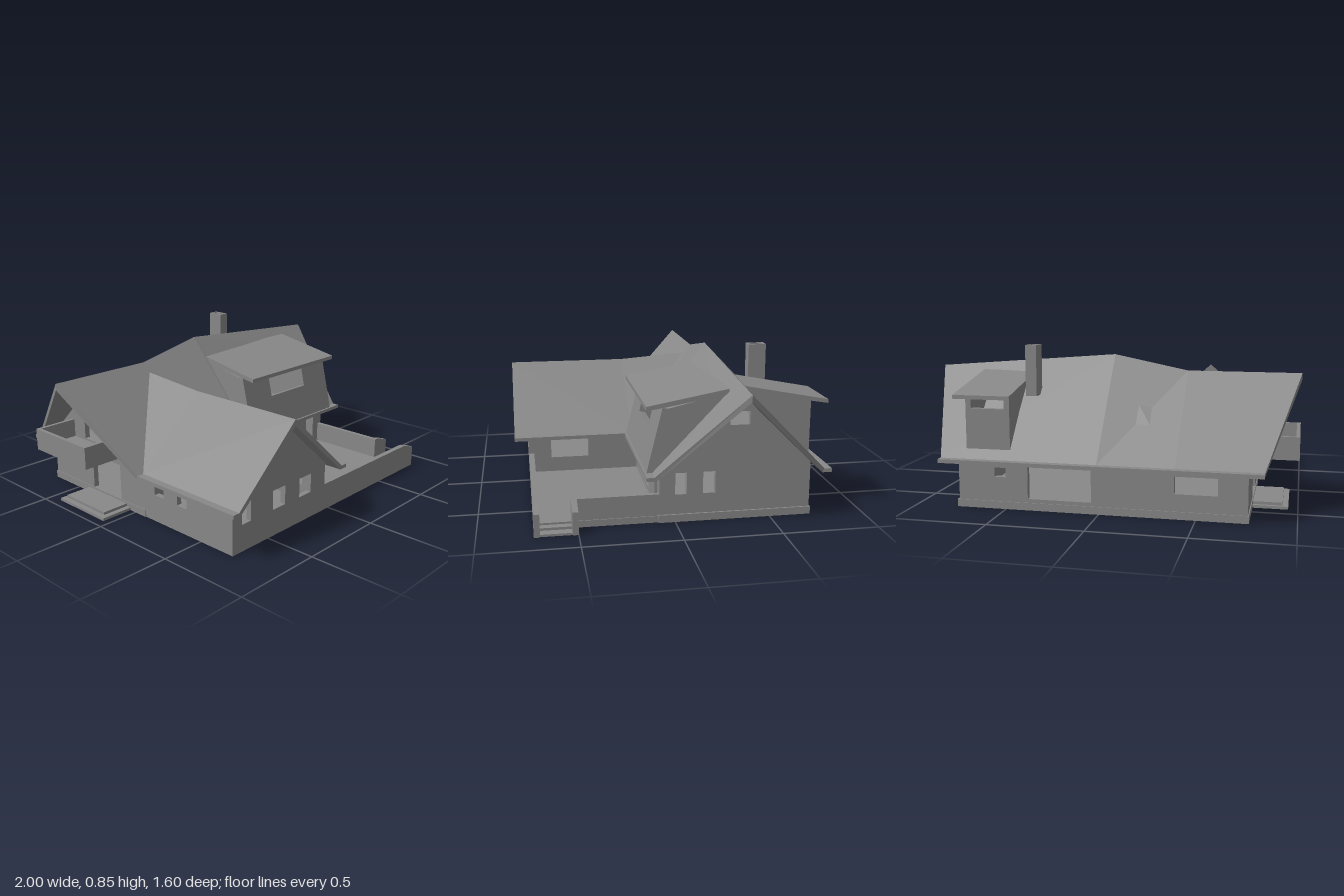
import * as THREE from 'three';

const mat = new THREE.MeshStandardMaterial({ color: 0x888888, flatShading: true, side: THREE.DoubleSide });

export function createModel() {
  const house = new THREE.Group();
  house.name = 'house';

  const add = (name, geo) => {
    const m = new THREE.Mesh(geo, mat);
    m.name = name;
    house.add(m);
    return m;
  };

  // Box given by its limits
  const box = (name, x0, x1, y0, y1, z0, z1) =>
    add(name, new THREE.BoxGeometry(x1 - x0, y1 - y0, z1 - z0))
      .position.set((x0 + x1) / 2, (y0 + y1) / 2, (z0 + z1) / 2);

  // Plate with rectangular openings [a0, a1, b0, b1]
  const rect = (a0, a1, b0, b1) => [[a0, b0], [a1, b0], [a1, b1], [a0, b1]];
  const vectors = pts => pts.map(p => new THREE.Vector2(...p));
  const plate = (pts, holes, depth) => {
    const shape = new THREE.Shape(vectors(pts));
    for (const h of holes) shape.holes.push(new THREE.Path(vectors(rect(...h))));
    return new THREE.ExtrudeGeometry(shape, { depth, bevelEnabled: false });
  };

  // Wall facing z: outline in (x, y), from z0 forwards
  const wallZ = (name, pts, holes, z0, t = 0.03) => {
    const m = add(name, plate(pts, holes, t));
    m.position.z = z0;
    return m;
  };
  // Wall facing x: outline in (z, y), from x1 towards -x
  const wallX = (name, pts, holes, x1, t = 0.03) => {
    const m = add(name, plate(pts, holes, t));
    m.rotation.y = -Math.PI / 2;
    m.position.x = x1;
  };

  // Roof slab skinned through closed sections, with both ends capped
  const loft = (name, sections) => {
    const v = [];
    const quad = (a, b, c, d) => { for (const p of [a, b, d, b, c, d]) v.push(...p); };
    const n = sections[0].length;
    for (let s = 0; s < sections.length - 1; s++) {
      const p = sections[s], q = sections[s + 1];
      for (let i = 0; i < n; i++) quad(p[i], p[(i + 1) % n], q[(i + 1) % n], q[i]);
    }
    for (const e of [sections[0], sections[sections.length - 1]]) {
      for (let i = 0; i < n / 2 - 1; i++) quad(e[i], e[n - 1 - i], e[n - 2 - i], e[i + 1]);
    }
    const g = new THREE.BufferGeometry();
    g.setAttribute('position', new THREE.Float32BufferAttribute(v, 3));
    g.computeVertexNormals();
    add(name, g);
  };

  // One roof slope as [distance from ridge line, height, on ridge], with a flat lip at the eave
  const slope = (half, ridge) => [
    [half + 0.04, 0.27, false], [half, 0.27, false], [0, ridge, true],
    [0, ridge - 0.035, true], [half - 0.01, 0.25, false], [half + 0.04, 0.25, false],
  ];

  // Main roof: raised in the middle, ridge longer than the eaves
  const mainSlope = (name, side, stations) => loft(name, stations.map(([eaveX, ridgeX, h]) =>
    slope(0.44, h).map(([d, y, top]) => [top ? ridgeX : eaveX, y, -0.32 + side * d])));
  const left = [[-0.84, -1, 0.71], [-0.4, -0.4, 0.71], [0, 0, 0.79]];
  const right = [0.84, 1, 0.71];
  mainSlope('backRoof', -1, [...left, right]);
  // The front slope is open under the dormer
  mainSlope('frontRoofLeft', 1, [...left, [0.04, 0.04, 0.787]]);
  mainSlope('frontRoofRight', 1, [[0.745, 0.745, 0.73], right]);
  loft('roofAboveDormer', [[0.04, 0.787], [0.745, 0.73]].map(([x, h]) => {
    const low = h - (h - 0.27) * 0.27;
    return [[x, low, -0.2], [x, h, -0.32], [x, h - 0.035, -0.32], [x, low - 0.03, -0.2]];
  }));
  box('dormerEave', 0.04, 0.745, 0.25, 0.27, 0.09, 0.16);

  // Wing roof: its end runs into the main roof along two valleys
  for (const side of [-1, 1]) {
    loft('wingRoof', [[0.8, 0.8, 0.63], [0.12, 0.12, 0.63], [0.12, -0.27, 0.66]].map(([eaveZ, ridgeZ, h]) =>
      slope(0.4, h).map(([d, y, top]) => [-0.4 + side * d, y, top ? ridgeZ : eaveZ])));
  }

  // Floors and plinth
  box('floorSlab', -0.76, 0.76, 0, 0.035, -0.72, 0.72);
  box('plinth', -0.765, 0.77, 0, 0.04, -0.72, 0.085);
  box('mainCeiling', -0.74, 0.74, 0.26, 0.275, -0.7, 0.06);
  box('wingCeiling', -0.74, -0.06, 0.26, 0.275, 0.06, 0.7);

  // Main walls
  const gable = top => [[-0.715, 0], [0.08, 0], [0.08, 0.295], [-0.32, top], [-0.715, 0.295]];
  wallX('rightGableWall', gable(0.705),
    [[-0.06, 0, 0.145, 0.26], [-0.21, -0.145, 0.145, 0.26], [-0.385, -0.28, 0.5, 0.57]], 0.76);
  wallX('leftGableWall', gable(0.69), [[-0.36, -0.12, 0.04, 0.24], [-0.42, -0.22, 0.32, 0.5]], -0.73);
  wallZ('backWall', rect(-0.76, 0.76, 0, 0.28),
    [[0.04, 0.38, 0.06, 0.255], [-0.61, -0.39, 0.13, 0.22], [0.5, 0.56, 0.17, 0.22]], -0.715);
  wallZ('terraceWall', rect(-0.76, 0.76, 0, 0.28), [[0.035, 0.4, 0.06, 0.265], [0.61, 0.68, 0.05, 0.25]], 0.05);

  // Wing walls
  wallZ('wingGableWall', [[-0.76, 0], [-0.04, 0], [-0.04, 0.285], [-0.4, 0.61], [-0.76, 0.285]],
    [[-0.695, -0.63, 0.145, 0.26], [-0.465, -0.37, 0.145, 0.25], [-0.255, -0.16, 0.145, 0.25]], 0.69);
  wallX('wingRightWall', rect(0.08, 0.7, 0, 0.275), [[0.37, 0.59, 0.12, 0.255]], -0.04);
  wallX('wingLeftWall', rect(0.08, 0.7, 0, 0.275), [[0.16, 0.23, 0.15, 0.24], [0.33, 0.4, 0.145, 0.25]], -0.73);

  // Terrace parapet with side steps between sloping cheeks
  box('frontParapet', -0.04, 0.76, 0, 0.15, 0.69, 0.72);
  box('sideParapet', 0.73, 0.755, 0, 0.15, 0.08, 0.53);
  for (const z of [0.5, 0.69]) {
    wallZ('stepCheek', [[0.73, 0], [0.855, 0], [0.855, 0.12], [0.76, 0.15], [0.73, 0.15]], [], z);
  }
  box('upperStep', 0.74, 0.8, 0, 0.025, 0.53, 0.69);
  box('lowerStep', 0.8, 0.85, 0, 0.012, 0.53, 0.69);

  // Entrance steps on the left
  box('entranceLowerStep', -0.95, -0.76, 0, 0.015, -0.42, -0.04);
  box('entranceUpperStep', -0.92, -0.76, 0.015, 0.03, -0.4, -0.07);

  // Left balcony
  box('balconyFloor', -1, -0.76, 0.29, 0.31, -0.535, -0.1);
  box('balconyOuterRail', -1, -0.98, 0.31, 0.41, -0.535, -0.1);
  for (const z of [-0.535, -0.12]) box('balconySideRail', -0.98, -0.76, 0.31, 0.41, z, z + 0.02);

  // Front dormer: leaning window wall, cheeks and shed roof
  const front = wallZ('frontDormerWall', rect(0.015, 0.765, 0, 0.345), [[0.235, 0.545, 0.19, 0.318]], 0, 0.035);
  front.rotation.x = -0.238;
  front.position.set(0, 0.262, 0.115);
  for (const x of [0.045, 0.765]) {
    wallX('frontDormerCheek', [[0.12, 0.25], [0.04, 0.6], [-0.25, 0.665], [-0.25, 0.61]], [], x);
  }
  wallX('frontDormerRoof', [[0.15, 0.592], [0.15, 0.614], [-0.27, 0.69], [-0.27, 0.66]], [], 0.768, 0.755);

  // Back dormer
  wallZ('backDormerWall', rect(0.47, 0.71, 0.25, 0.603), [[0.5, 0.68, 0.53, 0.58]], -0.72);
  for (const x of [0.5, 0.71]) {
    wallX('backDormerCheek', [[-0.715, 0.26], [-0.715, 0.604], [-0.38, 0.665], [-0.38, 0.61]], [], x);
  }
  wallX('backDormerRoof', [[-0.8, 0.59], [-0.8, 0.61], [-0.36, 0.695], [-0.36, 0.665]], [], 0.745, 0.305);

  // Hollow chimney
  const chimney = add('chimney', plate(rect(0.375, 0.435, 0.46, 0.555), [[0.387, 0.423, 0.472, 0.543]], 0.27));
  chimney.rotation.x = -Math.PI / 2;
  chimney.position.y = 0.58;

  return house;
}
